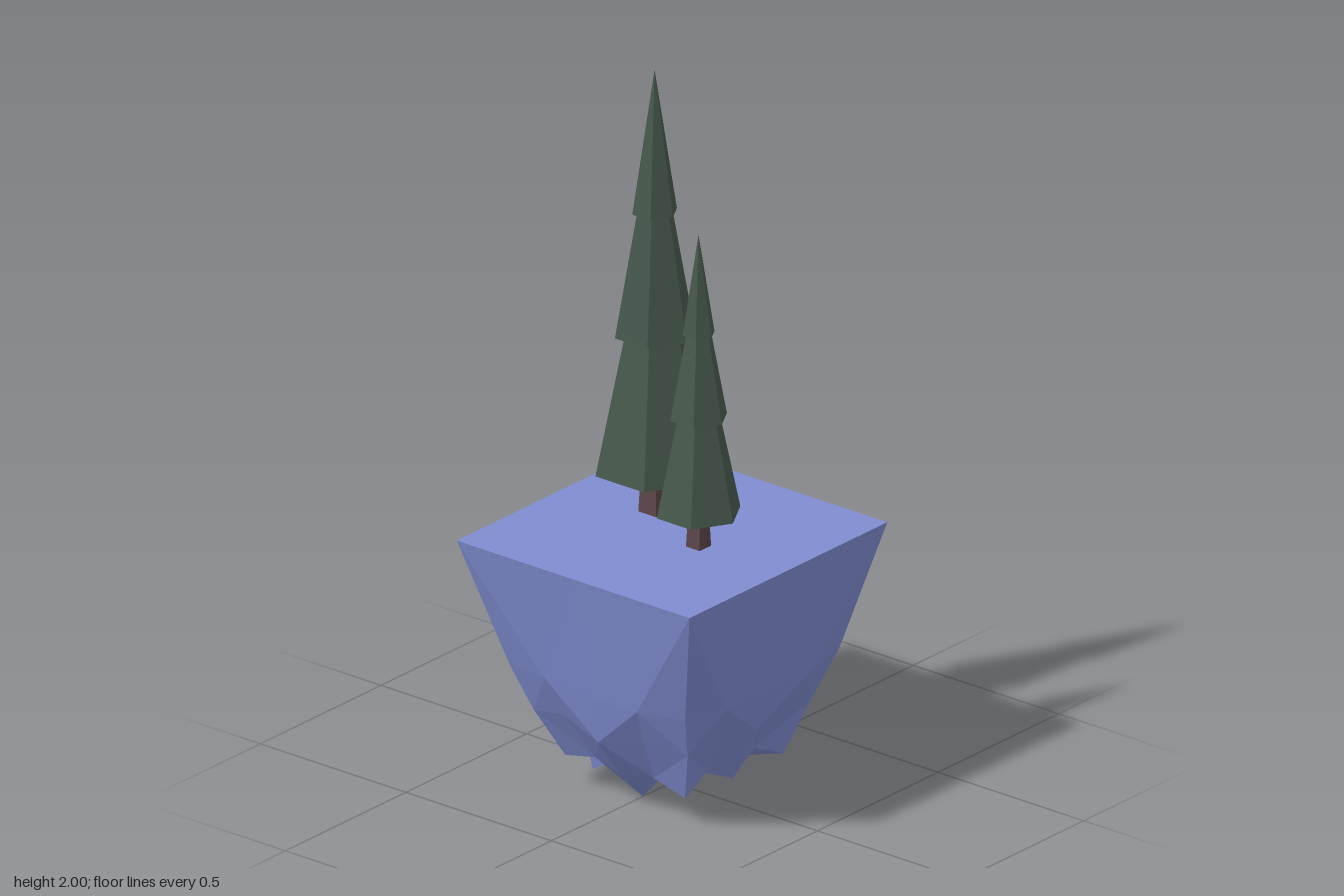
import * as THREE from 'three';

const material = (color) => new THREE.MeshStandardMaterial({ color, flatShading: true });
const rockMat = material(0x808cd0);
const leafMat = material(0x46584c);
const barkMat = material(0x5c4648);
const GROUND = 0.725;

// Small seeded random, from -1 to 1
function makeRandom(seed) {
  return () => {
    seed = (seed * 16807) % 2147483647;
    return (seed / 2147483647) * 2 - 1;
  };
}

// One ring of 16 points round a square whose corners are drawn in
function ring({ x, z, y, corner, jitter, wave }, random) {
  const points = [];
  for (let i = 0; i < 16; i++) {
    const t = (i % 4) / 2 - 1;
    const k = 1 + (corner - 1) * t * t;
    const [u, v] = [[t, 1], [1, -t], [-t, -1], [-1, t]][i >> 2];
    points.push(new THREE.Vector3(
      u * x * k + random() * jitter,
      y + (i % 2 ? wave : 0) + random() * jitter,
      v * z * k + random() * jitter));
  }
  return points;
}

// Floating rock: flat square top, walls, and a craggy underside
function createRock() {
  const random = makeRandom(77);
  const rings = [
    { x: 0.41, z: 0.4, y: GROUND, corner: 1, jitter: 0, wave: 0 },
    { x: 0.345, z: 0.337, y: 0.36, corner: 0.91, jitter: 0.009, wave: 0 },
    { x: 0.295, z: 0.288, y: 0.23, corner: 0.91, jitter: 0.016, wave: 0.02 },
    { x: 0.205, z: 0.2, y: 0.08, corner: 1, jitter: 0.012, wave: 0.04 },
    { x: 0.11, z: 0.11, y: 0.075, corner: 0.95, jitter: 0.015, wave: 0.02 },
  ].map((r) => ring(r, random));

  // Hanging tips
  rings[4][14].set(-0.12, 0, 0);
  rings[3][10].set(-0.1, 0.02, -0.19);

  const position = [];
  const triangle = (...corners) => corners.forEach((p) => position.push(p.x, p.y, p.z));
  const topCentre = new THREE.Vector3(0, GROUND, 0);
  const bottomCentre = new THREE.Vector3(0.01, 0.06, 0.01);
  for (let i = 0; i < 16; i++) {
    const j = (i + 1) % 16;
    triangle(topCentre, rings[0][i], rings[0][j]);
    for (let r = 0; r < rings.length - 1; r++) {
      const [a, b, c, d] = [rings[r + 1][i], rings[r + 1][j], rings[r][j], rings[r][i]];
      if ((i + r) % 2) {
        triangle(a, b, c);
        triangle(a, c, d);
      } else {
        triangle(a, b, d);
        triangle(b, c, d);
      }
    }
    triangle(bottomCentre, rings[4][j], rings[4][i]);
  }
  const geometry = new THREE.BufferGeometry();
  geometry.setAttribute('position', new THREE.Float32BufferAttribute(position, 3));
  geometry.computeVertexNormals();
  const rock = new THREE.Mesh(geometry, rockMat);
  rock.name = 'floatingRock';
  return rock;
}

// Upright frustum between two heights
function frustum(name, mat, sides, [y0, y1, r0, r1]) {
  const mesh = new THREE.Mesh(new THREE.CylinderGeometry(r1, r0, y1 - y0, sides), mat);
  mesh.position.y = (y0 + y1) / 2;
  mesh.name = name;
  return mesh;
}

// Fir tree: square trunk and stacked tiers given as [bottom, top, bottom radius, top radius]
function createTree(name, x, z, trunkRadius, tiers) {
  const tree = new THREE.Group();
  tree.name = name;
  tree.position.set(x, 0, z);
  const trunk = frustum('trunk', barkMat, 4, [GROUND - 0.01, tiers[0][0] + 0.02, trunkRadius, trunkRadius * 0.78]);
  trunk.rotation.y = Math.PI / 4;
  tree.add(trunk);
  tiers.forEach((tier, i) => tree.add(frustum(`foliageTier${i + 1}`, leafMat, 6, tier)));
  return tree;
}

export function createModel() {
  const model = new THREE.Group();
  model.name = 'floatingIsland';
  model.add(createRock());
  model.add(createTree('tallTree', 0.075, -0.122, 0.044, [
    [0.85, 1.24, 0.167, 0.085],
    [1.24, 1.59, 0.112, 0.05],
    [1.59, 2, 0.063, 0],
  ]));
  model.add(createTree('smallTree', -0.03, 0.116, 0.034, [
    [0.823, 1.098, 0.118, 0.06],
    [1.098, 1.34, 0.08, 0.035],
    [1.34, 1.625, 0.045, 0],
  ]));
  return model;
}
